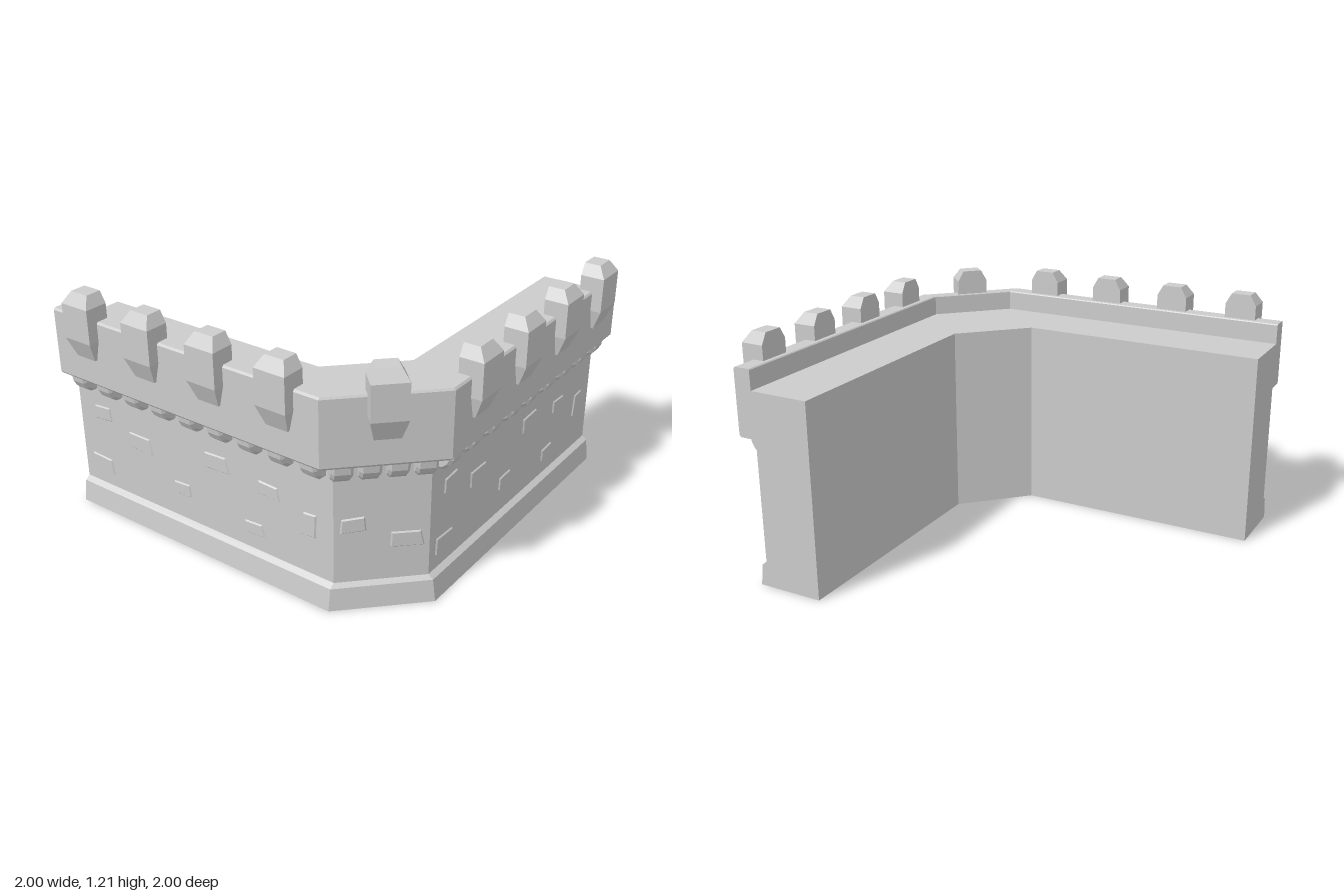
import * as THREE from 'three';

const material = new THREE.MeshStandardMaterial({ color: 0xcccccc, flatShading: true, side: THREE.DoubleSide });

function part(name, geometry, parent) {
  const mesh = new THREE.Mesh(geometry, material);
  mesh.name = name;
  parent.add(mesh);
  return mesh;
}

// Wall section as [distance outwards, height], swept around the cut corner; open underneath
function wallGeometry() {
  const profile = [
    [0.89, 0], [0.875, 0.11], [0.85, 0.13], [0.85, 0.745], [0.937, 0.745], [0.945, 0.755],
    [0.945, 1.072], [0.937, 1.082], [0.86, 1.082], [0.855, 1.077], [0.855, 0.98], [0.55, 0.98], [0.55, 0],
  ];
  const path = ([d, y]) => {
    const c = d > 0.6 ? 0.55 : 0.25;
    return [[-1, y, d], [c, y, d], [d, y, c], [d, y, -1]];
  };
  const rows = profile.map(path);
  const pos = [];
  for (let j = 0; j < rows.length - 1; j++) {
    for (let i = 0; i < 3; i++) {
      const a = rows[j][i], b = rows[j][i + 1], c = rows[j + 1][i + 1], d = rows[j + 1][i];
      pos.push(...a, ...b, ...c, ...a, ...c, ...d);
    }
  }
  // End caps
  const contour = profile.map(([d, y]) => new THREE.Vector2(d, y));
  for (const [a, b, c] of THREE.ShapeUtils.triangulateShape(contour, [])) {
    pos.push(...rows[a][0], ...rows[b][0], ...rows[c][0]);
    pos.push(...rows[a][3], ...rows[c][3], ...rows[b][3]);
  }
  const geometry = new THREE.BufferGeometry();
  geometry.setAttribute('position', new THREE.Float32BufferAttribute(pos, 3));
  geometry.computeVertexNormals();
  return geometry;
}

// Merlon: a box whose rings narrow towards the top and bottom
function merlonGeometry() {
  const rings = [[0.885, 0.058, 0.957], [0.985, 0.081, 0.998], [1.155, 0.081, 0.998], [1.21, 0.05, 0.96]];
  const geometry = new THREE.BoxGeometry(1, 1, 1, 1, 3, 1);
  const p = geometry.attributes.position;
  for (let i = 0; i < p.count; i++) {
    const [y, half, outer] = rings[Math.round((p.getY(i) + 0.5) * 3)];
    p.setXYZ(i, Math.sign(p.getX(i)) * half, y, p.getZ(i) > 0 ? outer : 0.88);
  }
  geometry.computeVertexNormals();
  return geometry;
}

// Corbel: rounded bracket with bevelled edges
function corbelGeometry() {
  const bevel = 0.014, width = 0.096;
  const pts = [[0.83, 0.745], [0.912, 0.745], [0.908, 0.715], [0.893, 0.688], [0.872, 0.67], [0.83, 0.664]];
  const shape = new THREE.Shape(pts.map(([d, y]) => new THREE.Vector2(d, y)));
  const depth = width - 2 * bevel;
  const geometry = new THREE.ExtrudeGeometry(shape, {
    depth, bevelEnabled: true, bevelSize: bevel, bevelThickness: bevel, bevelSegments: 1,
  });
  return geometry.translate(0, 0, -depth / 2).rotateY(-Math.PI / 2);
}

// Raised stone: a crooked quadrilateral with a bevelled rim
function stoneGeometry(w, h, tilt, skew) {
  const bevel = 0.007, a = w / 2 - bevel, b = h / 2 - bevel;
  const corners = [[-a, -b], [a, -b], [a, b], [-a, b]].map(([x, y]) =>
    new THREE.Vector2(x * (1 - 0.06 * Math.sign(y)) - skew * y, y + tilt * x));
  return new THREE.ExtrudeGeometry(new THREE.Shape(corners), {
    depth: 0.012, bevelEnabled: true, bevelSize: bevel, bevelThickness: bevel, bevelSegments: 1,
  });
}

// Stones: x, y, width, height, tilt, skew
const sideStones = [
  [-0.615, 0.535, 0.11, 0.075, 0.08, 0.05], [-0.37, 0.447, 0.145, 0.085, 0, 0.15],
  [0.115, 0.51, 0.14, 0.083, 0.05, 0.15], [0.42, 0.473, 0.118, 0.07, -0.04, 0.1],
  [0.645, 0.383, 0.078, 0.12, 0.08, -0.08], [-0.11, 0.29, 0.108, 0.068, 0.06, 0.05],
  [0.33, 0.24, 0.11, 0.066, 0.06, 0.15], [-0.652, 0.24, 0.145, 0.088, -0.04, 0.05],
];
const cornerStones = [[-0.127, 0.423, 0.112, 0.075, 0.08, 0], [0.11, 0.332, 0.145, 0.08, -0.02, 0.1]];

// Details of one wall face, laid out along local x and facing local +z
function faceDetails(name, stones, corbelXs, merlonXs, offsets) {
  const group = new THREE.Group();
  group.name = name;
  const corbel = corbelGeometry(), merlon = merlonGeometry();
  for (const x of corbelXs) part('corbel', corbel, group).position.set(x, 0, offsets.corbel);
  for (const x of merlonXs) part('merlon', merlon, group).position.set(x, 0, offsets.merlon);
  for (const [x, y, ...size] of stones) {
    part('stone', stoneGeometry(...size), group).position.set(x, y, 0.843 - 0.006 + offsets.stone);
  }
  return group;
}

export function createModel() {
  const model = new THREE.Group();
  model.name = 'castleWallCorner';
  part('wall', wallGeometry(), model);

  // Front and left faces share one layout, turned a quarter
  const corbelXs = Array.from({ length: 9 }, (_, i) => (i - 4) * 0.1725);
  const merlonXs = [-0.567, -0.189, 0.189, 0.567];
  const straight = { corbel: 0, merlon: 0, stone: 0 };
  const front = faceDetails('frontDetails', sideStones, corbelXs, merlonXs, straight);
  front.position.x = -0.225;
  const left = faceDetails('leftDetails', sideStones, corbelXs, merlonXs, straight);
  left.rotation.y = Math.PI / 2;
  left.position.z = -0.225;

  // Diagonal corner face
  const corner = faceDetails('cornerDetails', cornerStones, [-0.18, -0.06, 0.06, 0.18], [0],
    { corbel: 0.125, merlon: 0.124, stone: 0.14 });
  corner.rotation.y = Math.PI / 4;

  model.add(front, left, corner);
  return model;
}
